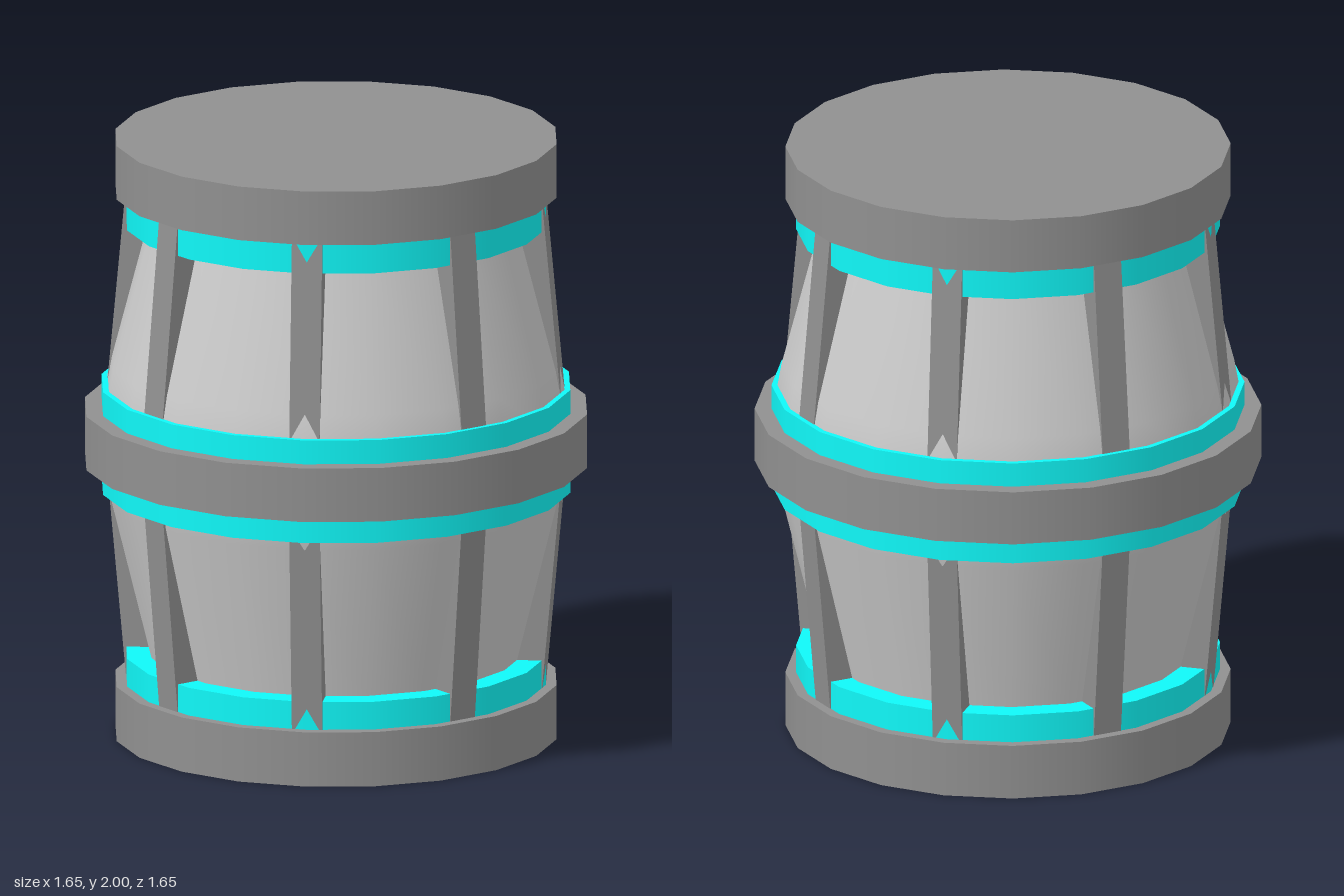
import * as THREE from 'three';

const SIDES = 20;
const body = new THREE.MeshStandardMaterial({ color: 0xcccccc });
const dark = new THREE.MeshStandardMaterial({ color: 0x909090 });
const cyan = new THREE.MeshStandardMaterial({ color: 0x10f8f8 });

export function createModel() {
  const barrel = new THREE.Group();
  barrel.name = 'barrel';

  const add = (name, geometry, material) => {
    const mesh = new THREE.Mesh(geometry, material);
    mesh.name = name;
    barrel.add(mesh);
    return mesh;
  };

  // Solid hoop between two heights
  const hoop = (name, radius, y0, y1, material) => {
    const geometry = new THREE.CylinderGeometry(radius, radius, y1 - y0, SIDES);
    add(name, geometry, material).position.y = (y0 + y1) / 2;
  };

  // Bulging wall
  const profile = [
    [0.585, 0.15], [0.61, 0.275], [0.74, 0.8], [0.764, 0.93],
    [0.764, 1.1], [0.737, 1.25], [0.615, 1.715], [0.585, 1.85],
  ].map(([r, y]) => new THREE.Vector2(r, y));
  add('wall', new THREE.LatheGeometry(profile, SIDES), body);

  // End rims and middle hoop
  hoop('bottomRim', 0.725, 0, 0.182, dark);
  hoop('topRim', 0.725, 1.82, 2, dark);
  hoop('middleHoop', 0.825, 0.915, 1.095, dark);

  // Coloured bands
  hoop('middleBand', 0.77, 0.83, 1.175, cyan);
  hoop('lowerBand', 0.69, 0.17, 0.275, cyan);
  hoop('upperBand', 0.69, 1.715, 1.83, cyan);

  // Leaning ribs: the outer face runs from [radius, y] low to high
  const rib = (name, angle, [r0, y0], [r1, y1]) => {
    const depth = 0.15;
    const geometry = new THREE.BoxGeometry(0.1, Math.hypot(r1 - r0, y1 - y0), depth);
    geometry.translate(0, 0, -depth / 2);
    geometry.rotateX(Math.atan2(r1 - r0, y1 - y0));
    geometry.translate(0, (y0 + y1) / 2, (r0 + r1) / 2);
    geometry.rotateY(angle);
    add(name, geometry, dark);
  };
  for (let i = 0; i < 8; i++) {
    const angle = (i * Math.PI) / 4;
    rib('upperRib', angle, [0.746, 1.15], [0.68, 1.86]);
    rib('lowerRib', angle, [0.68, 0.14], [0.745, 0.86]);
  }

  return barrel;
}
